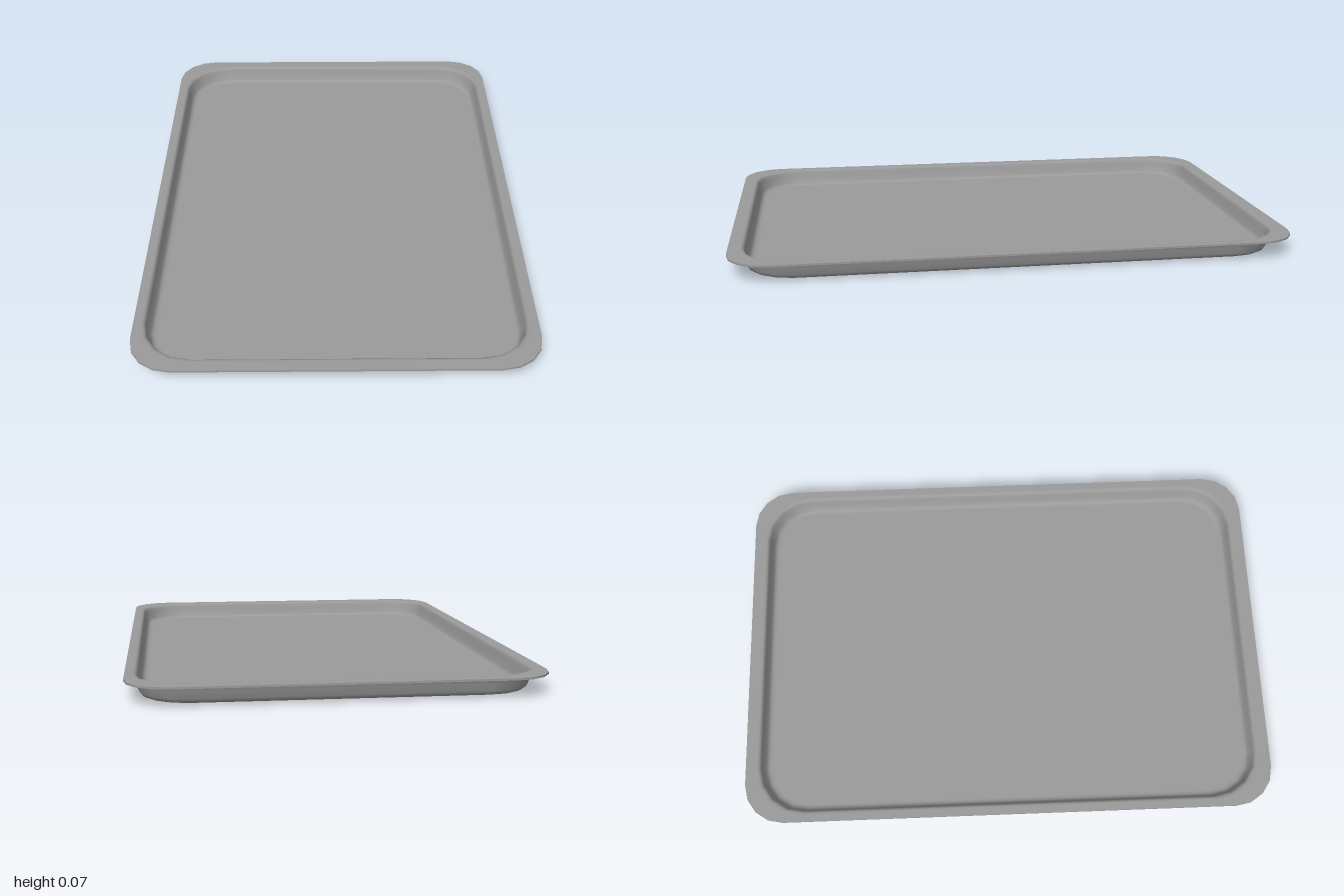
import * as THREE from 'three';

const HALF_X = 0.692, HALF_Z = 1.0, CORNER_STEPS = 4;
const DISH_X = 0.654, DISH_Z = 0.947; // half size of the dish at its mouth
const RIM_RADIUS = 0.147, RIM_TOP = 0.068, RIM_BOTTOM = 0.061;

// Closed rounded-rectangle loop
function loop(halfX, halfZ, radius, y) {
  const cx = halfX - radius, cz = halfZ - radius;
  const points = [];
  [[1, 1], [-1, 1], [-1, -1], [1, -1]].forEach(([sx, sz], corner) => {
    for (let i = 0; i <= CORNER_STEPS; i++) {
      const a = (corner + i / CORNER_STEPS) * Math.PI / 2;
      points.push([sx * cx + radius * Math.cos(a), y, sz * cz + radius * Math.sin(a)]);
    }
  });
  return points;
}

const rim = (y) => loop(HALF_X, HALF_Z, RIM_RADIUS, y);
const dish = ([offset, radius, y]) => loop(DISH_X + offset, DISH_Z + offset, radius, y);
const centre = (y) => rim(y).map(() => [0, y, 0]);

// Skin between successive loops
function loft(loops) {
  const n = loops[0].length, index = [];
  for (let k = 0; k < loops.length - 1; k++) {
    for (let j = 0; j < n; j++) {
      const a = k * n + j, b = k * n + (j + 1) % n;
      index.push(a, b, a + n, b, b + n, a + n);
    }
  }
  const geometry = new THREE.BufferGeometry();
  geometry.setAttribute('position', new THREE.Float32BufferAttribute(loops.flat(2), 3));
  geometry.setIndex(index);
  geometry.computeVertexNormals();
  return geometry;
}

export function createModel() {
  const group = new THREE.Group();
  group.name = 'tray';
  const material = new THREE.MeshStandardMaterial({ color: 0x9a9a9a });
  const add = (name, loops) => {
    const mesh = new THREE.Mesh(loft(loops), material);
    mesh.name = name;
    group.add(mesh);
  };

  // Each entry is [offset from the dish mouth, corner radius, height]
  // Floor, rounded wall and flat rim, from the middle outwards
  const top = [
    [-0.039, 0.142, 0.006], [-0.032, 0.148, 0.006], [-0.023, 0.155, 0.009],
    [-0.016, 0.160, 0.017], [-0.008, 0.166, 0.042], [-0.004, 0.170, 0.058],
    [0.000, 0.174, 0.065], [0.006, 0.176, RIM_TOP], [0.012, 0.176, RIM_TOP],
  ].map(dish);
  add('dishAndRim', [centre(0.006), ...top, rim(RIM_TOP)]);

  // Thin vertical edge of the rim
  add('rimEdge', [rim(RIM_TOP), rim(RIM_BOTTOM)]);

  // Underside, from the rim back to the middle
  const under = [
    [0.014, 0.176, RIM_BOTTOM], [0.010, 0.176, 0.060], [0.005, 0.174, 0.056],
    [0.001, 0.170, 0.042], [-0.007, 0.166, 0.016], [-0.013, 0.160, 0.006],
    [-0.022, 0.153, 0.001], [-0.031, 0.146, 0], [-0.039, 0.140, 0],
  ].map(dish);
  add('underside', [rim(RIM_BOTTOM), ...under, centre(0)]);

  return group;
}
